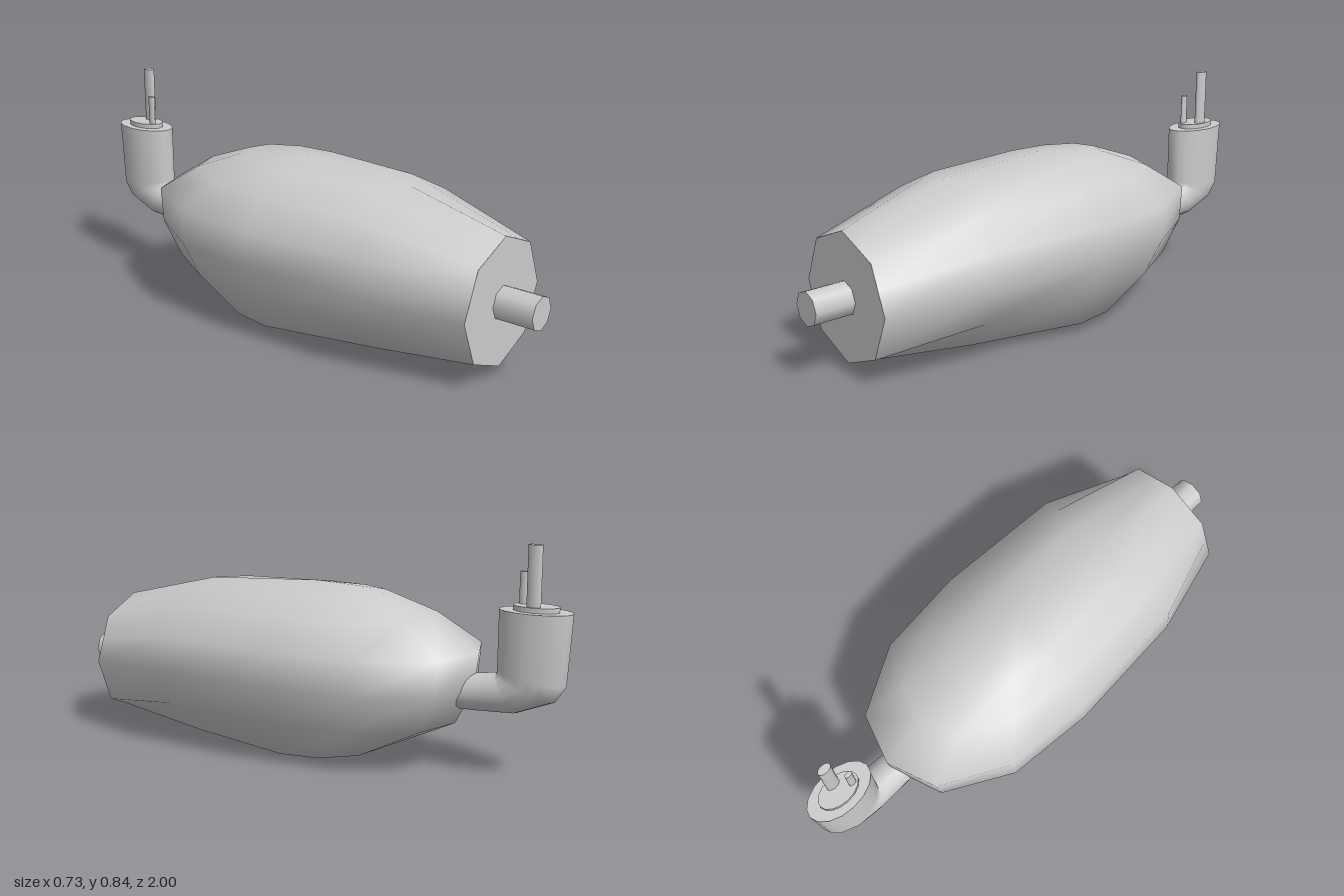
import * as THREE from 'three';
import { mergeVertices } from 'three/addons/utils/BufferGeometryUtils.js';

const material = new THREE.MeshStandardMaterial({ color: 0xcccccc, side: THREE.DoubleSide });

// Skin a list of closed cross-sections (each an array of [x, y, z])
function loft(sections) {
  const n = sections[0].length;
  const index = [];
  for (let s = 0; s < sections.length - 1; s++) {
    for (let j = 0; j < n; j++) {
      const a = s * n + j, b = s * n + (j + 1) % n;
      index.push(a, b, a + n, b, b + n, a + n);
    }
  }
  const geometry = new THREE.BufferGeometry();
  geometry.setAttribute('position', new THREE.Float32BufferAttribute(sections.flat(2), 3));
  geometry.setIndex(index);
  const merged = mergeVertices(geometry, 1e-4);
  merged.computeVertexNormals();
  return merged;
}

// Complete a half section (top to bottom) with its mirror image
const mirror = (half) => [...half, ...half.slice(1, -1).reverse().map(([x, y, z]) => [-x, y, z])];

export function createModel() {
  const group = new THREE.Group();
  const add = (name, geometry, x = 0, y = 0, z = 0) => {
    const mesh = new THREE.Mesh(geometry, material);
    mesh.name = name;
    mesh.position.set(x, y, z);
    group.add(mesh);
    return mesh;
  };

  // Body: rows of half width, height and rear reach
  const rows = [
    [0, 0.648, 0], [0.15, 0.622, 0.29], [0.26, 0.548, 0.49], [0.357, 0.44, 0.665],
    [0.363, 0.31, 0.65], [0.31, 0.175, 0.58], [0.255, 0.04, 0.29], [0, 0.005, 0],
  ];
  const nose = [
    [0, 0.525], [0.085, 0.49], [0.17, 0.455], [0.205, 0.37],
    [0.24, 0.285], [0.17, 0.115], [0.085, 0.08], [0, 0.045],
  ].map(([x, y]) => [x, y, 0.85]);
  const shoulder = [
    [0, 0.622, 0.45], [0.13, 0.615, 0.38], [0.24, 0.548, 0.45], [0.327, 0.44, 0.49],
    [0.337, 0.31, 0.49], [0.283, 0.175, 0.47], [0.145, 0.04, 0.43], [0, 0.04, 0.43],
  ];
  // The rear closes in quarter-turn steps to a vertical seam
  const rear = [[1, 0], [0.915, 0.52], [0.53, 0.9], [0, 1]]
    .map(([cx, cz]) => rows.map(([x, y, z]) => [x * cx, y, -z * cz]));
  add('body', loft([nose, shoulder, ...rear].map(mirror)));
  add('frontFace', new THREE.CircleGeometry(0.24, 8), 0, 0.285, 0.85);

  // Front shaft
  const shaft = new THREE.CylinderGeometry(0.063, 0.063, 0.17, 8);
  shaft.rotateX(Math.PI / 2);
  add('frontShaft', shaft, 0, 0.285, 0.915);

  // Rear elbow: inner z, y, outer z, y, half width
  const sides = 16;
  const elbow = [
    [-0.58, 0.36, -0.58, 0.235, 0.068],
    [-0.655, 0.37, -0.655, 0.236, 0.07],
    [-0.735, 0.383, -0.81, 0.245, 0.075],
    [-0.735, 0.387, -0.945, 0.3, 0.077],
    [-0.735, 0.395, -0.985, 0.36, 0.078],
    [-0.735, 0.612, -1, 0.612, 0.078],
  ].map(([z0, y0, z1, y1, w]) => Array.from({ length: sides }, (_, j) => {
    const t = (j / sides) * Math.PI * 2, k = (1 - Math.cos(t)) / 2;
    return [w * Math.sin(t), y0 + (y1 - y0) * k, z0 + (z1 - z0) * k];
  }));
  add('elbowPipe', loft(elbow));
  const lid = new THREE.CircleGeometry(1, sides);
  lid.rotateX(-Math.PI / 2);
  lid.scale(0.078, 1, 0.1325);
  add('elbowTop', lid, 0, 0.612, -0.8675);

  // Oval plate and the two pins on top of the elbow
  const oval = (name, rx, rz, y0, y1, x, z) => {
    const geometry = new THREE.CylinderGeometry(1, 1, y1 - y0, 16);
    geometry.scale(rx, 1, rz);
    add(name, geometry, x, (y0 + y1) / 2, z);
  };
  oval('topPlate', 0.05, 0.083, 0.6, 0.63, 0, -0.868);
  oval('largePin', 0.015, 0.026, 0.62, 0.842, 0.027, -0.867);
  oval('smallPin', 0.009, 0.015, 0.62, 0.742, -0.015, -0.815);

  return group;
}
